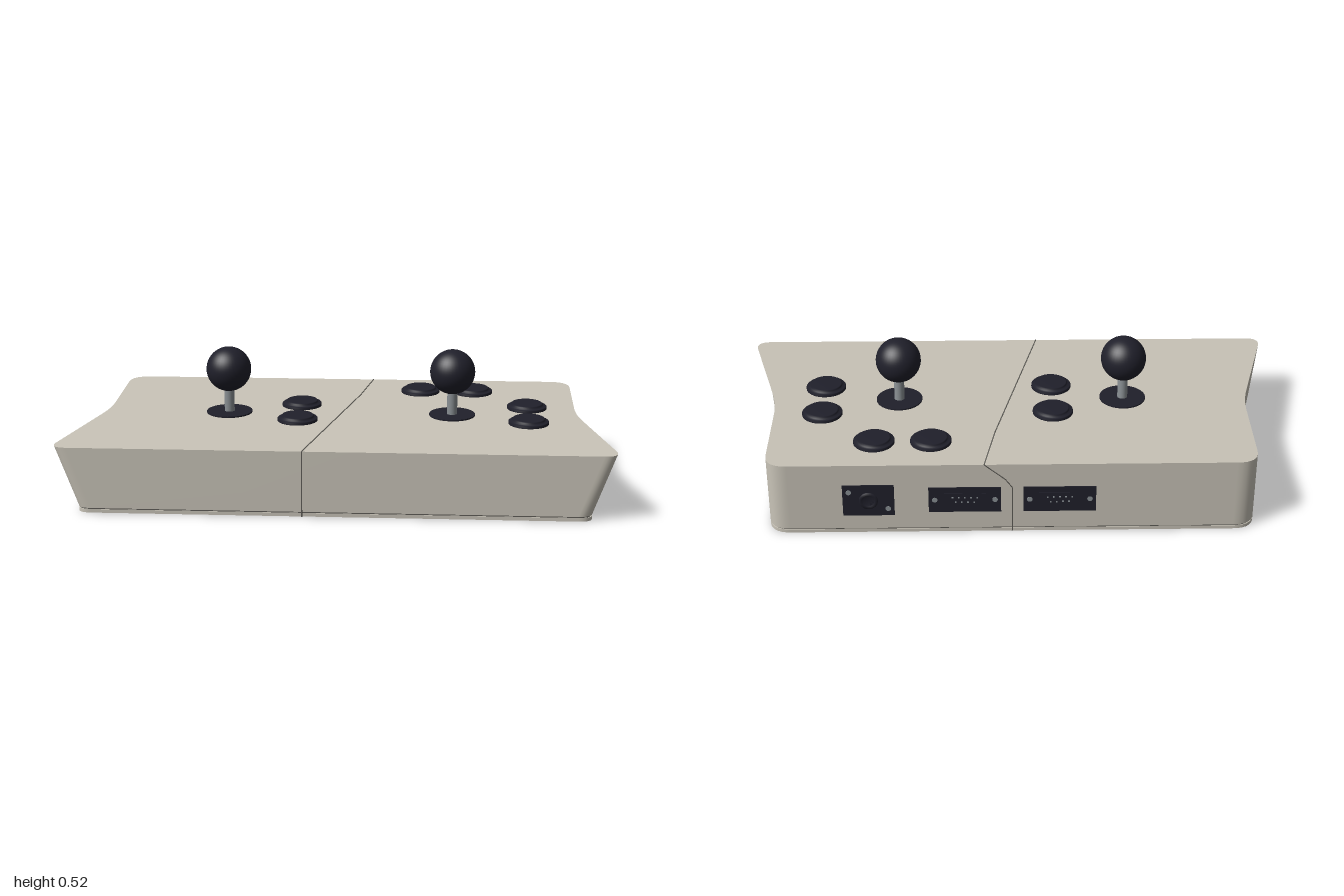
import * as THREE from 'three';

const BACK = -0.477, FRONT = 0.485, TILT = 0.052;
const deckY = (z) => 0.263 - TILT * z;

const mat = (name, color, extra = {}) => {
  const m = new THREE.MeshStandardMaterial({ color, ...extra });
  m.name = name;
  return m;
};

// Closed plan outline in (x, z), waisted at the back and flared to half-width w at the front
function outline(w, inset = 0) {
  const at = (z) => 0.88 + ((w - 0.88) * (z + 0.02)) / 0.45;
  const p = new THREE.Path();
  p.moveTo(0.8, BACK);
  p.quadraticCurveTo(0.88, BACK, 0.88, BACK + 0.08);
  p.lineTo(0.88, -0.1);
  p.quadraticCurveTo(0.88, -0.02, at(0.06), 0.06);
  p.lineTo(at(0.42), 0.43);
  p.quadraticCurveTo(w + 0.007, FRONT, w - 0.05, FRONT);
  const half = p.getPoints(8);
  const mirrored = half.map((v) => new THREE.Vector2(-v.x, v.y)).reverse();
  return [...half, ...mirrored].map((v) => new THREE.Vector2(v.x * (1 - inset), v.y * (1 - inset)));
}

// Capped loft between two outlines with smooth walls and sharp rims
function loft(low, high, lowY, highY) {
  const n = low.length, pos = [], idx = [];
  const ring = (pts, yOf) => pts.forEach((p) => pos.push(p.x, yOf(p.y), p.y));
  ring(low, lowY); ring(high, highY);
  ring(low, lowY); ring(high, highY);
  for (let i = 0; i < n; i++) {
    const j = (i + 1) % n;
    idx.push(i, n + i, j, j, n + i, n + j);
  }
  for (const [a, b, c] of THREE.ShapeUtils.triangulateShape(low, [])) idx.push(2 * n + a, 2 * n + b, 2 * n + c);
  for (const [a, b, c] of THREE.ShapeUtils.triangulateShape(high, [])) idx.push(3 * n + a, 3 * n + c, 3 * n + b);
  const g = new THREE.BufferGeometry();
  g.setAttribute('position', new THREE.Float32BufferAttribute(pos, 3));
  g.setIndex(idx);
  g.computeVertexNormals();
  return g;
}

export function createModel() {
  const model = new THREE.Group();
  model.name = 'arcadeController';
  const shell = mat('warm grey shell', 0xc9c4b8);
  const black = mat('blue black plastic', 0x20202b);
  const steel = mat('steel', 0x8b9195);
  const dark = mat('dark seam', 0x5e5c57);

  const add = (parent, name, geo, material, x = 0, y = 0, z = 0) => {
    const m = new THREE.Mesh(geo, material);
    m.name = name;
    m.position.set(x, y, z);
    parent.add(m);
    return m;
  };
  const cyl = (r1, r2, h, s = 40) => new THREE.CylinderGeometry(r1, r2, h, s);

  // Case: base plate, shadow gap and flared shell with a sloping deck
  const foot = outline(0.915);
  add(model, 'basePlate', loft(foot, foot, () => 0, () => 0.013), shell);
  const gap = outline(0.915, 0.004);
  add(model, 'baseGap', loft(gap, gap, () => 0.012, () => 0.018), dark);
  add(model, 'shell', loft(foot, outline(1), () => 0.017, deckY), shell);

  // Seam between the two halves, running round the whole case
  const seamPath = [
    [0.1, deckY(BACK), BACK], [0.06, deckY(-0.25), -0.25], [-0.11, deckY(FRONT), FRONT],
    [-0.11, 0, FRONT], [0.075, 0, -0.33], [0, 0, BACK], [0, 0.19, BACK], [0.025, 0.225, BACK], [0.1, deckY(BACK), BACK],
  ].map((p) => new THREE.Vector3(...p));
  for (let i = 0; i < seamPath.length - 1; i++) {
    const a = seamPath[i], b = seamPath[i + 1];
    const strip = add(model, 'seam', new THREE.BoxGeometry(0.004, 0.003, a.distanceTo(b)), dark);
    strip.position.copy(a).lerp(b, 0.5);
    strip.lookAt(b);
  }

  // Anything on the deck stands square to its slope
  const onDeck = (name, x, z) => {
    const g = new THREE.Group();
    g.name = name;
    g.position.set(x, deckY(z), z);
    g.rotation.x = TILT;
    model.add(g);
    return g;
  };

  // Joysticks
  for (const x of [-0.423, 0.417]) {
    const g = onDeck('joystick', x, 0.005);
    add(g, 'dustWasher', cyl(0.086, 0.086, 0.006), black, 0, 0.002);
    add(g, 'shaft', cyl(0.019, 0.019, 0.12, 24), steel, 0, 0.06);
    add(g, 'ballTop', new THREE.SphereGeometry(0.084, 40, 28), black, 0, 0.168);
  }

  // Push buttons: rim and plunger turned in one profile
  const buttonProfile = [[0.075, -0.004], [0.075, 0.008], [0.072, 0.011], [0.061, 0.011], [0.061, 0.018], [0.057, 0.021], [0, 0.021]];
  const flat = new THREE.LatheGeometry(buttonProfile.map((p) => new THREE.Vector2(...p)), 40);
  for (const [x, z] of [[-0.157, -0.1], [-0.157, 0.1], [0.292, -0.31], [0.498, -0.31], [0.7, -0.1], [0.7, 0.1]]) {
    add(onDeck('button', x, z), 'buttonCap', flat, black);
  }

  // Rear connector plates
  const rear = (name, x, w, h) => {
    const g = new THREE.Group();
    g.name = name;
    g.position.set(x, 0.14, BACK);
    model.add(g);
    add(g, 'plate', new THREE.BoxGeometry(w, h, 0.006), black);
    return g;
  };
  const screw = (g, x, y) => {
    add(g, 'plateScrew', cyl(0.01, 0.01, 0.004, 16), steel, x, y, -0.003).rotation.x = Math.PI / 2;
  };
  for (const x of [-0.17, 0.17]) {
    const g = rear('serialPort', x, 0.26, 0.105);
    for (const s of [-1, 1]) screw(g, s * 0.108, 0);
    add(g, 'socket', new THREE.BoxGeometry(0.15, 0.055, 0.004), black, 0, 0, -0.003);
    for (let i = 0; i < 9; i++) {
      const top = i < 5;
      add(g, 'pin', new THREE.BoxGeometry(0.006, 0.006, 0.003), steel,
        top ? (i - 2) * 0.022 : (i - 6.5) * 0.022, top ? 0.01 : -0.01, -0.0045);
    }
  }
  const round = rear('roundPort', 0.515, 0.185, 0.13);
  for (const s of [-1, 1]) screw(round, s * 0.07, s * 0.035);
  const collar = new THREE.LatheGeometry(
    [[0.034, 0], [0.034, 0.008], [0.022, 0.008], [0.022, 0.003], [0, 0.003]].map((p) => new THREE.Vector2(...p)), 32);
  add(round, 'collar', collar, black).rotation.x = -Math.PI / 2;

  // Screws under the base
  for (const [x, z] of [[0.82, -0.385], [0.82, 0.385], [0.155, -0.355], [-0.03, -0.355],
    [0, 0.32], [-0.14, 0.32], [-0.82, -0.385], [-0.82, 0.385]]) {
    add(model, 'baseScrew', cyl(0.02, 0.02, 0.003, 20), dark, x, 0.0005, z);
  }

  return model;
}
